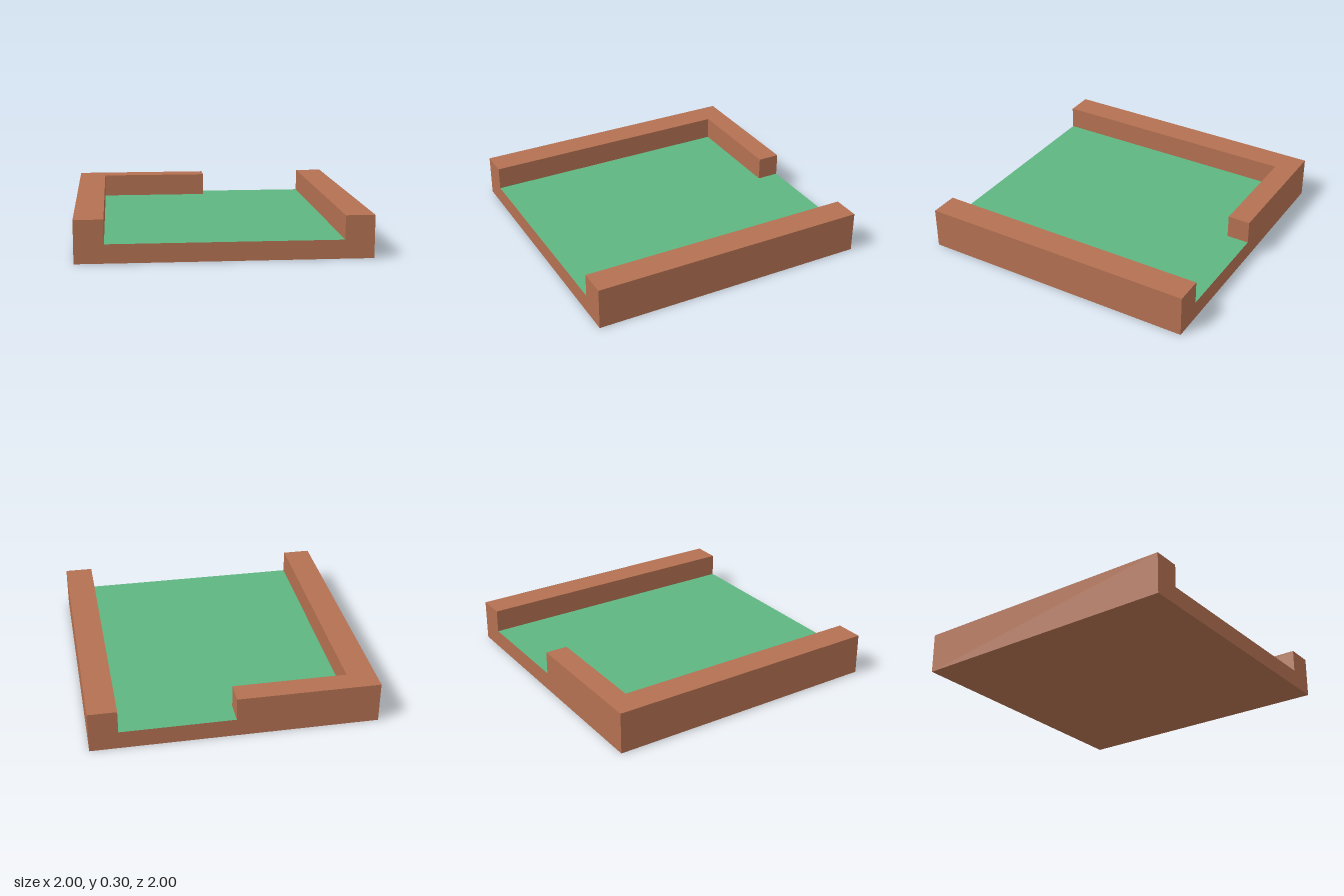
import * as THREE from 'three';

const FLOOR = 0.13; // height of the floor slab
const TOP = 0.295; // height of the walls

export function createModel() {
  const clay = new THREE.MeshStandardMaterial({ color: 0xb37051 });
  clay.name = 'clay brown';
  const grass = new THREE.MeshStandardMaterial({ color: 0x5eb581 });
  grass.name = 'grass green';

  const model = new THREE.Group();
  model.name = 'walledTile';

  // Box given by its minimum and maximum corners
  function addBox(name, [x0, y0, z0], [x1, y1, z1], material) {
    const geometry = new THREE.BoxGeometry(x1 - x0, y1 - y0, z1 - z0);
    const mesh = new THREE.Mesh(geometry, material);
    mesh.name = name;
    mesh.position.set((x0 + x1) / 2, (y0 + y1) / 2, (z0 + z1) / 2);
    model.add(mesh);
  }

  // Floor slab: green on its top face only
  addBox('floor', [-0.8, 0, -1], [0.8, FLOOR, 1], [clay, clay, grass, clay, clay, clay]);

  // Full-length side walls
  addBox('rightWall', [-1, 0, -1], [-0.8, TOP, 1], clay);
  addBox('leftWall', [0.8, 0, -1], [1, TOP, 1], clay);

  // Half-width back wall, leaving an opening beside it
  addBox('backWall', [-0.8, FLOOR, -1], [0, TOP, -0.84], clay);

  return model;
}
